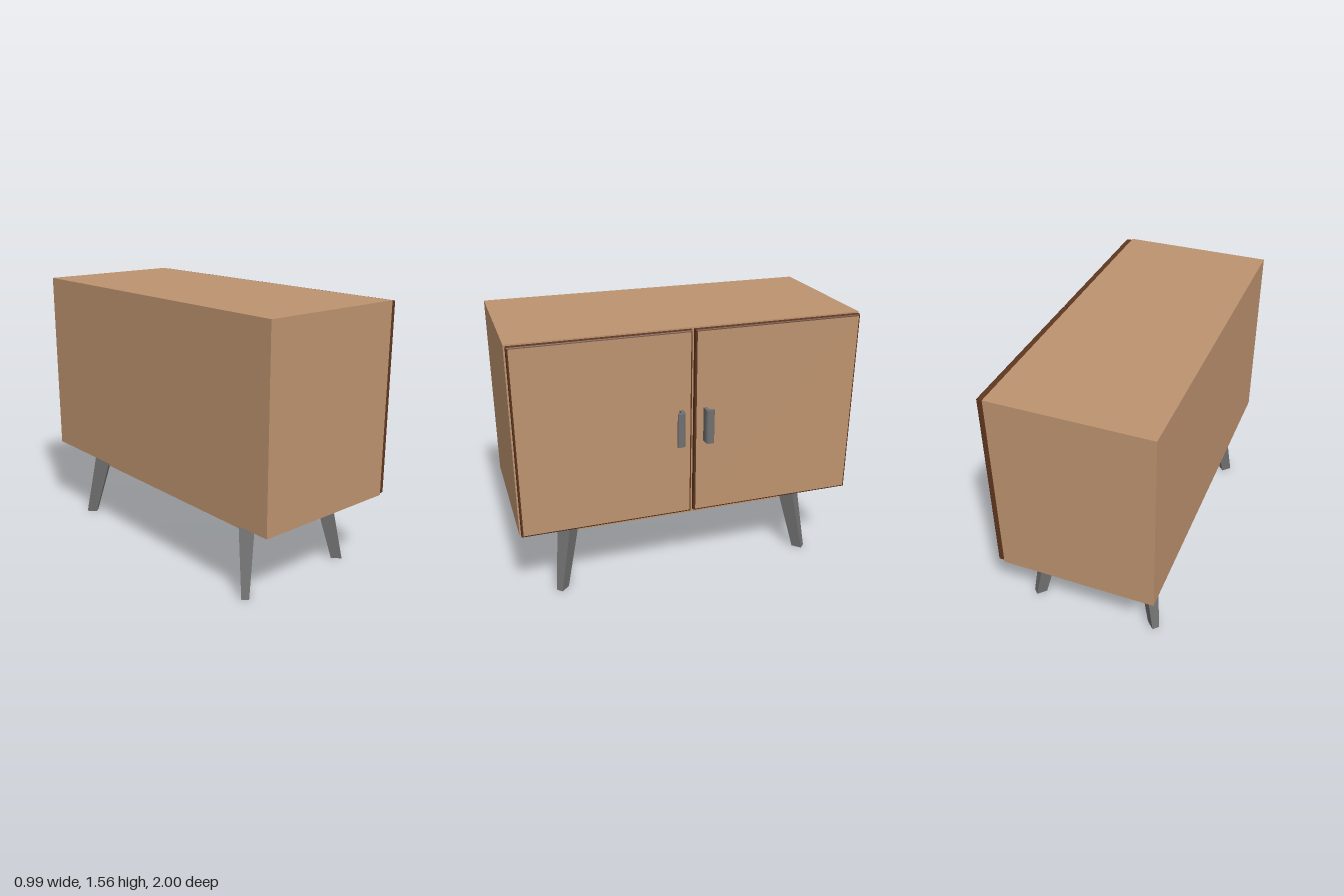
import * as THREE from 'three';

const wood = new THREE.MeshStandardMaterial({ color: 0xbd936f });
wood.name = 'light wood';
const edge = new THREE.MeshStandardMaterial({ color: 0x5e361f });
edge.name = 'dark wood edging';
const metal = new THREE.MeshStandardMaterial({ color: 0x707070 });
metal.name = 'grey metal';

function add(group, name, geometry, material) {
  const mesh = new THREE.Mesh(geometry, material);
  mesh.name = name;
  group.add(mesh);
}

// Box given by its minimum and maximum corners
function box(x0, y0, z0, x1, y1, z1) {
  return new THREE.BoxGeometry(x1 - x0, y1 - y0, z1 - z0)
    .translate((x0 + x1) / 2, (y0 + y1) / 2, (z0 + z1) / 2);
}

// Door slab facing +x: caps in light wood, bevelled rim in dark wood
function doorGeometry(side) {
  const bevel = 0.01, w = 0.984, h = 1.095;
  const a = w / 2 - bevel, b = h / 2 - bevel;
  const shape = new THREE.Shape();
  shape.moveTo(-a, -b).lineTo(a, -b).lineTo(a, b).lineTo(-a, b).closePath();
  return new THREE.ExtrudeGeometry(shape, {
    depth: 0.02, bevelThickness: bevel, bevelSize: bevel, bevelSegments: 3,
  }).rotateY(Math.PI / 2).translate(0.405, 1.0025, side * 0.5);
}

// Hooked pull, its profile drawn from above and extruded along its height
function handleGeometry(side) {
  const s = new THREE.Shape();
  s.moveTo(0.43, 0.059 * side);
  s.lineTo(0.468, 0.059 * side);
  s.quadraticCurveTo(0.491, 0.06 * side, 0.491, 0.083 * side);
  s.lineTo(0.491, 0.097 * side);
  s.quadraticCurveTo(0.491, 0.106 * side, 0.481, 0.107 * side);
  s.quadraticCurveTo(0.471, 0.106 * side, 0.471, 0.097 * side);
  s.lineTo(0.471, 0.09 * side);
  s.quadraticCurveTo(0.47, 0.081 * side, 0.462, 0.081 * side);
  s.lineTo(0.43, 0.081 * side);
  s.closePath();
  return new THREE.ExtrudeGeometry(s, { depth: 0.2, bevelEnabled: false, curveSegments: 6 })
    .rotateX(Math.PI / 2).translate(0, 1.1, 0);
}

// Splayed tapering leg set diagonally; each level is [y, outer, split, inner]
function legGeometry(sx, sz) {
  const levels = [[0, 0.405, 0.375, 0.33], [0.335, 0.371, 0.315, 0.25], [0.45, 0.36, 0.295, 0.245]];
  const rings = levels.map(([y, o, s, i]) => {
    const ring = [[o, s], [s, o], [i, i + o - s], [i + o - s, i]]
      .map(([u, v]) => [sx * u - 0.05, y, sz * (v + 0.4)]);
    return sx * sz < 0 ? ring.reverse() : ring;
  });
  const pos = [];
  const quad = (a, b, c, d) => pos.push(...a, ...b, ...c, ...a, ...c, ...d);
  for (let k = 0; k < 2; k++) {
    for (let j = 0; j < 4; j++) {
      const n = (j + 1) % 4;
      quad(rings[k][j], rings[k + 1][j], rings[k + 1][n], rings[k][n]);
    }
  }
  quad(...rings[0]);
  quad(...[...rings[2]].reverse());
  const g = new THREE.BufferGeometry();
  g.setAttribute('position', new THREE.Float32BufferAttribute(pos, 3));
  g.computeVertexNormals();
  return g;
}

export function createModel() {
  const model = new THREE.Group();
  model.name = 'sideboard';

  // Carcass and the recessed plinth beneath it
  add(model, 'cabinetBody', box(-0.495, 0.45, -1, 0.395, 1.555, 1), wood);
  add(model, 'plinth', box(-0.345, 0.335, -0.7, 0.245, 0.45, 0.7), wood);

  // Doors, handles and legs on each side
  for (const side of [1, -1]) {
    const label = side > 0 ? 'Front' : 'Back';
    add(model, 'door' + label, doorGeometry(side), [wood, edge]);
    add(model, 'handle' + label, handleGeometry(side), metal);
    add(model, 'leg' + label + 'Left', legGeometry(1, side), metal);
    add(model, 'leg' + label + 'Right', legGeometry(-1, side), metal);
  }
  return model;
}
